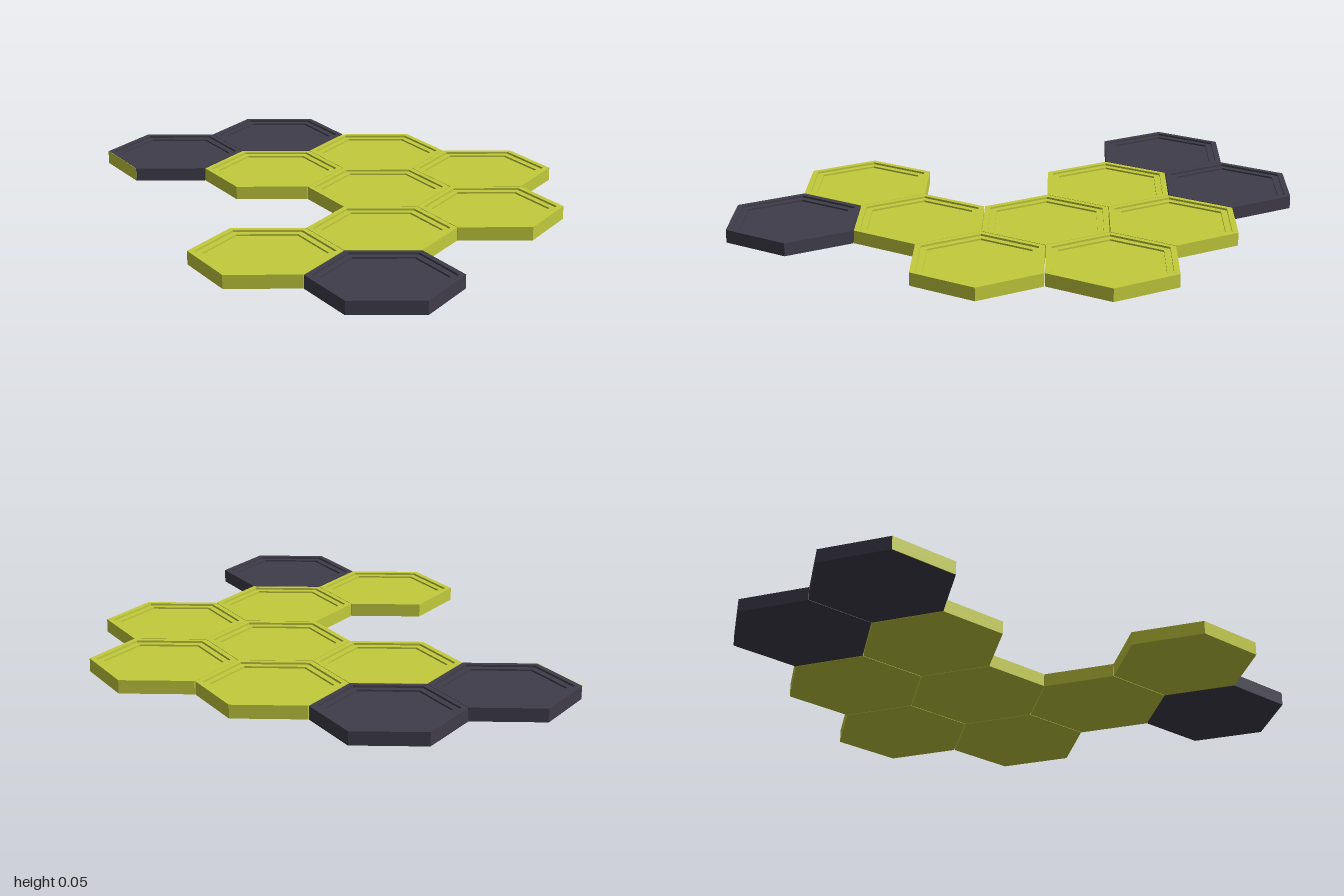
import * as THREE from 'three';

const R = 0.2485;      // tile corner radius
const H = 0.046;       // tile height
const DX = 0.4325;     // spacing along a row
const DZ = 0.3755;     // spacing between rows

export function createModel() {
  const group = new THREE.Group();
  const lime = new THREE.MeshStandardMaterial({ color: 0xc2cb3c, flatShading: true });
  const dark = new THREE.MeshStandardMaterial({ color: 0x403d4b, flatShading: true });

  // Six-sided tile: flat base, upright rim, shallow stepped tray
  const profile = [
    [0, 0], [R, 0], [R, H], [R * 0.91, H], [R * 0.91, H - 0.007],
    [R * 0.81, H - 0.007], [R * 0.81, H - 0.013], [0, H - 0.013],
  ].map(([r, y]) => new THREE.Vector2(r, y));
  const tileGeometry = new THREE.LatheGeometry(profile, 6);

  // Rows from back to front: column positions in units of tile spacing
  const rows = [
    { name: 'backDarkTile', material: dark, columns: [-0.75, 0.25] },
    { name: 'backTile', material: lime, columns: [-0.25, 0.75] },
    { name: 'middleTile', material: lime, columns: [0.25, 1.25] },
    { name: 'frontTile', material: lime, columns: [-1.25, -0.25, 0.75] },
    { name: 'frontDarkTile', material: dark, columns: [-0.75] },
  ];
  rows.forEach(({ name, material, columns }, row) => {
    columns.forEach((column, i) => {
      const tile = new THREE.Mesh(tileGeometry, material);
      tile.name = name + (i + 1);
      tile.position.set(column * DX, 0, (row - 2) * DZ);
      group.add(tile);
    });
  });

  // Lime side face on the outer back dark tile
  const edge = new THREE.Mesh(new THREE.BoxGeometry(0.002, H, R), lime);
  edge.name = 'limeEdge';
  edge.position.set(-0.75 * DX - R * Math.cos(Math.PI / 6), H / 2, -2 * DZ);
  group.add(edge);

  return group;
}
